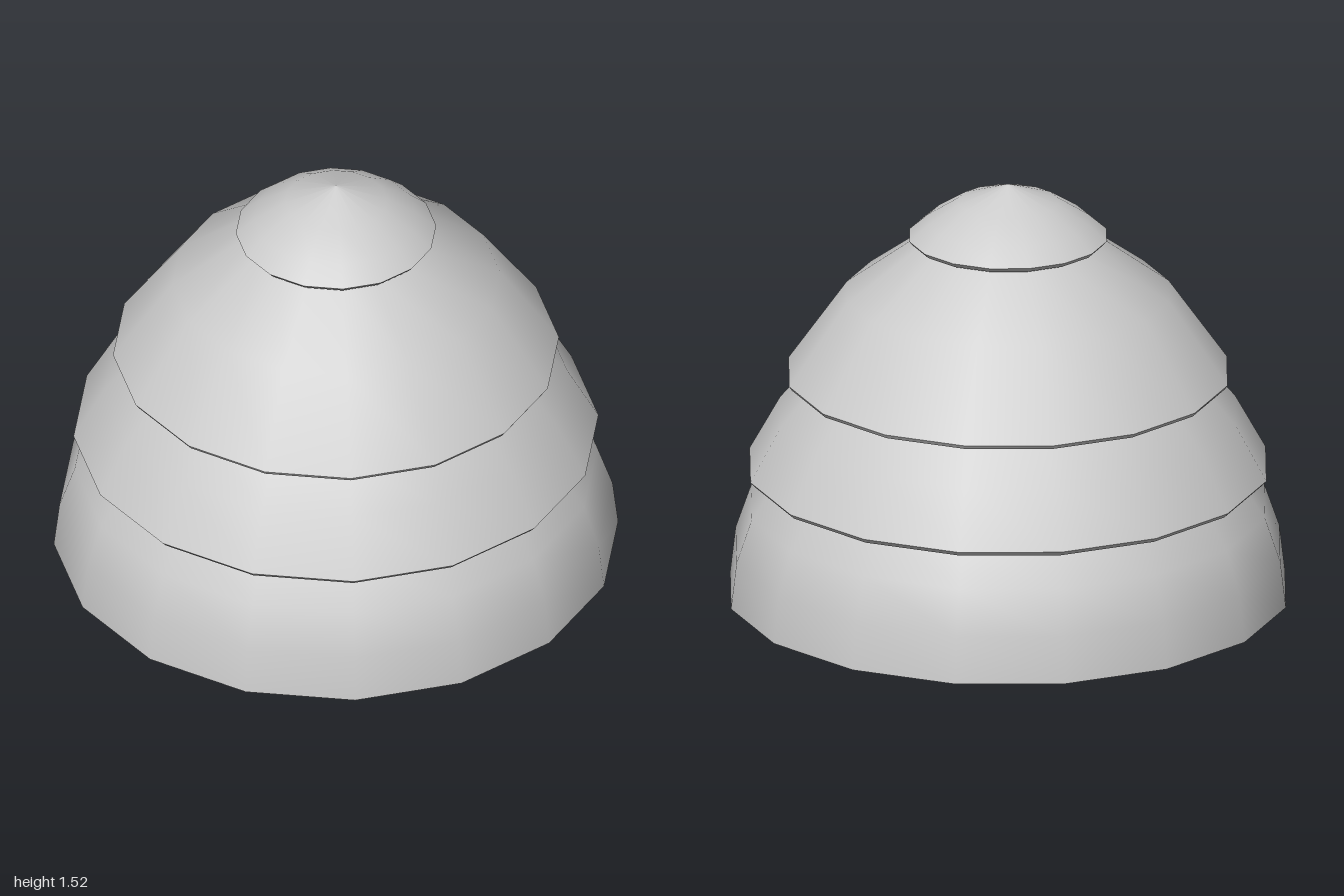
import * as THREE from 'three';

const SIDES = 16;

export function createModel() {
  const model = new THREE.Group();
  model.name = 'tieredDome';
  const material = new THREE.MeshStandardMaterial({ color: 0xcccccc, side: THREE.DoubleSide });

  // A ring-shaped shell turned from [radius, height] points, bottom to top
  const turn = (name, profile) => {
    const points = profile.map(([r, y]) => new THREE.Vector2(r, y));
    const mesh = new THREE.Mesh(new THREE.LatheGeometry(points, SIDES), material);
    mesh.name = name;
    model.add(mesh);
  };

  // Curved shells; each top tucks under the next tier
  const tiers = {
    baseTier: [[1, 0], [0.98, 0.17], [0.925, 0.33], [0.83, 0.47]],
    lowerTier: [[0.93, 0.47], [0.82, 0.67], [0.7, 0.81], [0.65, 0.86]],
    upperTier: [[0.79, 0.82], [0.58, 1.12], [0.3, 1.325]],
    cap: [[0.355, 1.332], [0.29, 1.39], [0.18, 1.46], [0, 1.525]],
  };
  for (const [name, profile] of Object.entries(tiers)) turn(name, profile);

  // Overhanging lips: thin bevelled edge plus the underside back to the tier below
  const lips = [
    ['lowerLip', [0.83, 0.47], [0.915, 0.453], [0.93, 0.47]],
    ['upperLip', [0.65, 0.86], [0.78, 0.805], [0.79, 0.82]],
    ['capLip', [0.3, 1.325], [0.34, 1.315], [0.355, 1.332]],
  ];
  for (const [name, inner, bottom, rim] of lips) {
    turn(name + 'Underside', [inner, bottom]);
    turn(name + 'Edge', [bottom, rim]);
  }

  return model;
}
